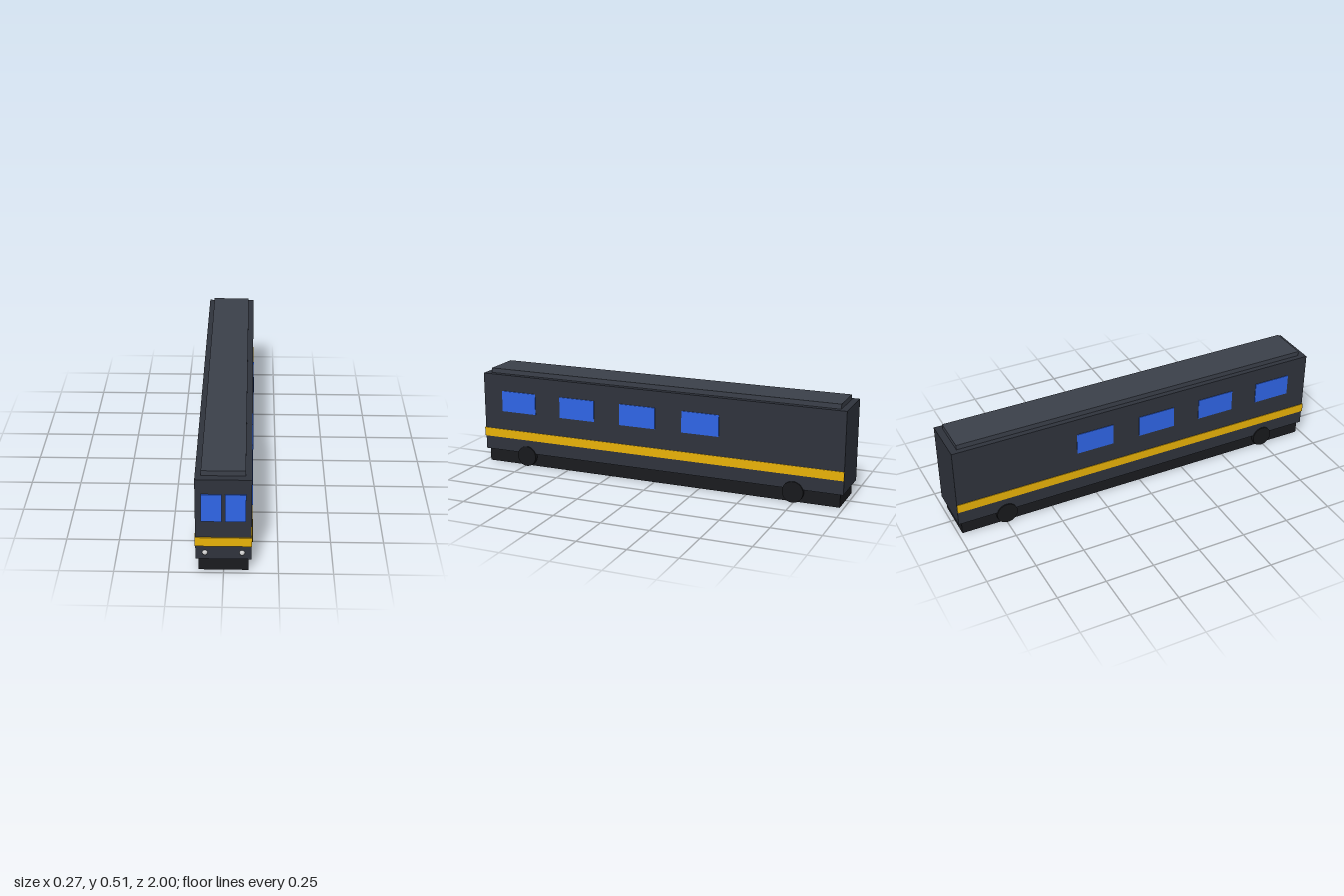
import * as THREE from 'three';

const mat = (color) => new THREE.MeshStandardMaterial({ color });

export function createModel() {
  const group = new THREE.Group();
  const dark = mat(0x2f333c);
  const roofGrey = mat(0x3b404a);
  const black = mat(0x1a1b1f);
  const tyre = mat(0x18191c);
  const yellow = mat(0xeab308);
  const blue = mat(0x2f66e8);
  const lamp = mat(0xcccccc);

  // Box given by its minimum and maximum corners
  function box(name, material, [x0, y0, z0], [x1, y1, z1]) {
    const mesh = new THREE.Mesh(new THREE.BoxGeometry(x1 - x0, y1 - y0, z1 - z0), material);
    mesh.position.set((x0 + x1) / 2, (y0 + y1) / 2, (z0 + z1) / 2);
    mesh.name = name;
    group.add(mesh);
  }

  // Carriage shell, roof cap and underframe
  box('body', dark, [-0.127, 0.07, -0.998], [0.126, 0.49, 0.99]);
  box('roof', roofGrey, [-0.1, 0.49, -0.963], [0.098, 0.515, 0.955]);
  box('underframe', black, [-0.114, 0, -0.98], [0.113, 0.07, 0.975]);

  // Stripe wrapping the sides and the front, flush with the back
  box('stripe', yellow, [-0.13, 0.142, -0.997], [0.129, 0.188, 0.995]);

  for (const side of [-1, 1]) {
    const name = side > 0 ? 'left' : 'right';

    // Side windows
    for (const z of [0.78, 0.435, 0.09, -0.255]) {
      const x = side * 0.125;
      box(name + 'Window', blue, [x - 0.005, 0.29, z - 0.1], [x + 0.005, 0.402, z + 0.1]);
    }

    // Windscreen pane
    const cx = side * 0.054;
    box(name + 'Windscreen', blue, [cx - 0.0465, 0.275, 0.98], [cx + 0.0465, 0.416, 0.995]);

    // Headlight
    const light = new THREE.Mesh(new THREE.SphereGeometry(0.0125, 20, 14), lamp);
    light.position.set(side * 0.084, 0.106, 0.99);
    light.name = name + 'Headlight';
    group.add(light);

    // Wheels
    for (const z of [0.74, -0.745]) {
      const wheel = new THREE.Mesh(new THREE.CylinderGeometry(0.054, 0.054, 0.022, 32), tyre);
      wheel.rotation.z = Math.PI / 2;
      wheel.position.set(side * 0.122, 0.054, z);
      wheel.name = name + 'Wheel';
      group.add(wheel);
    }
  }

  return group;
}
